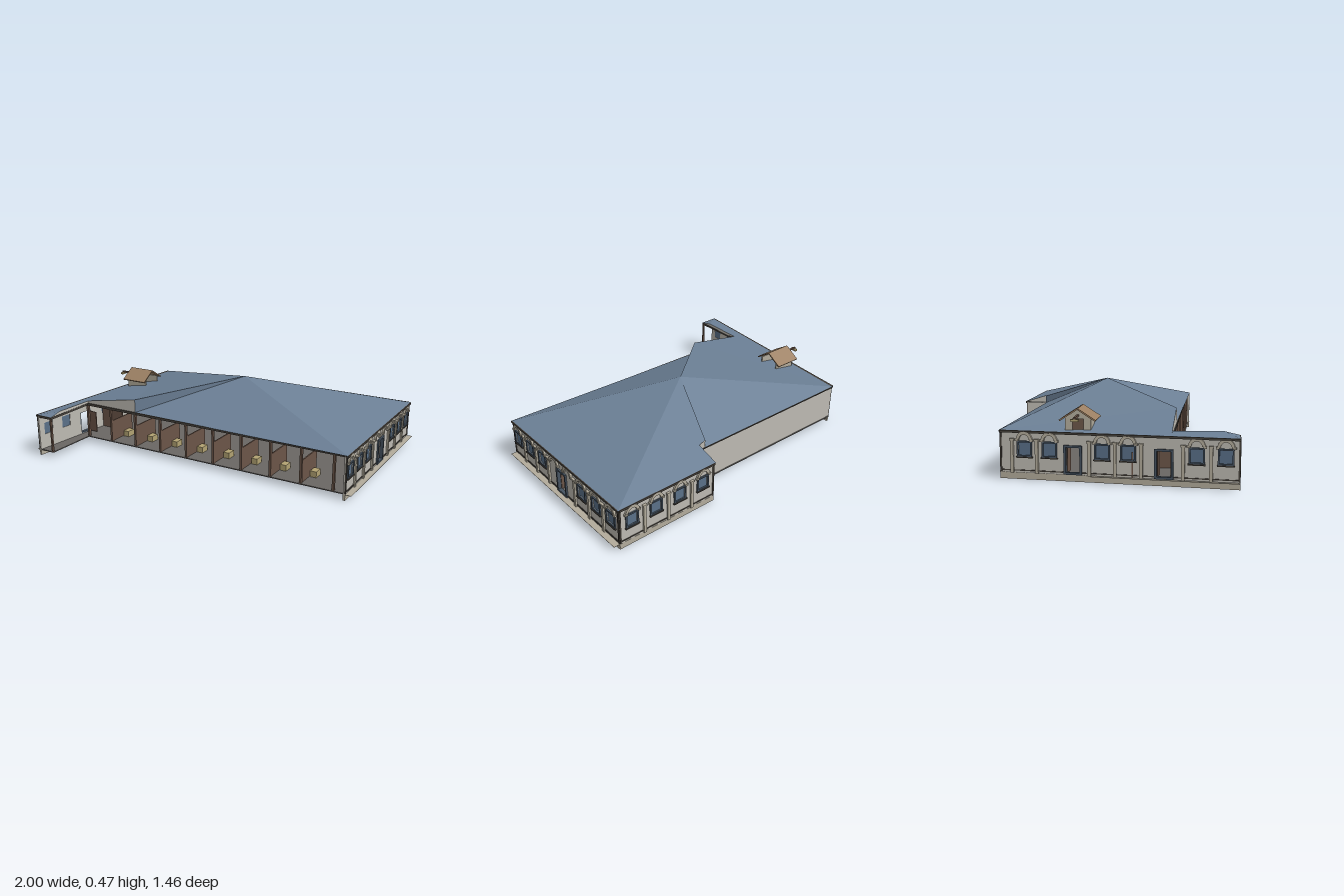
import * as THREE from 'three';

const mat = (color) => new THREE.MeshStandardMaterial({ color, side: THREE.DoubleSide, flatShading: true });
const M = {
  wall: mat(0xbdbab2), stone: mat(0xb3ac9c), roof: mat(0x6c8096), wood: mat(0x6b5548), dark: mat(0x45403a),
  glass: mat(0x5a7088), frame: mat(0x465361), bale: mat(0xb3a373), tile: mat(0x9c8063), floor: mat(0x6a6764),
};

function add(parent, name, geo, material, x = 0, y = 0, z = 0) {
  const m = new THREE.Mesh(geo, material);
  m.name = name;
  m.position.set(x, y, z);
  parent.add(m);
  return m;
}

// box given by its limits
function box(parent, name, material, x0, x1, y0, y1, z0, z1) {
  return add(parent, name, new THREE.BoxGeometry(x1 - x0, y1 - y0, z1 - z0), material,
    (x0 + x1) / 2, (y0 + y1) / 2, (z0 + z1) / 2);
}

// flat convex face from its corners
function face(parent, name, material, ...pts) {
  const pos = [];
  for (let i = 1; i < pts.length - 1; i++) pos.push(...pts[0], ...pts[i], ...pts[i + 1]);
  const g = new THREE.BufferGeometry();
  g.setAttribute('position', new THREE.Float32BufferAttribute(pos, 3));
  g.computeVertexNormals();
  return add(parent, name, g, material);
}

function rectPath(x0, x1, y0, y1, Type = THREE.Path) {
  const p = new Type();
  p.moveTo(x0, y0); p.lineTo(x1, y0); p.lineTo(x1, y1); p.lineTo(x0, y1); p.closePath();
  return p;
}

const extrude = (shape, depth) => new THREE.ExtrudeGeometry(shape, { depth, bevelEnabled: false, curveSegments: 8 });

// rectangular frame lying in the wall plane
function frame(parent, name, material, x0, x1, y0, y1, t, depth, z) {
  const s = rectPath(x0, x1, y0, y1, THREE.Shape);
  s.holes.push(rectPath(x0 + t, x1 - t, y0 + t, y1 - t));
  add(parent, name, extrude(s, depth), material, 0, 0, z);
}

function arch(parent, u) {
  const s = new THREE.Shape();
  s.absarc(0, 0, 0.045, 0, Math.PI, false);
  s.absarc(0, 0, 0.028, Math.PI, 0, true);
  s.closePath();
  add(parent, 'windowArch', extrude(s, 0.012), M.stone, u, 0.218, 0);
  for (const d of [-0.043, 0.043]) box(parent, 'archFoot', M.stone, u + d - 0.009, u + d + 0.009, 0.21, 0.222, 0, 0.014);
}

// decorated outer wall from (x0,z0) to (x1,z1), local +z faces outward
function facade(parent, name, x0, z0, x1, z1, o) {
  const g = new THREE.Group();
  const L = Math.hypot(x1 - x0, z1 - z0), w = 0.034;
  g.name = name;
  g.position.set(x0, 0, z0);
  g.rotation.y = Math.atan2(z0 - z1, x1 - x0);
  parent.add(g);
  const s = rectPath(0, L, 0.036, 0.258, THREE.Shape);
  for (const u of o.windows) s.holes.push(rectPath(u - w, u + w, 0.13, 0.205));
  for (const d of o.doors) s.holes.push(rectPath(d - 0.04, d + 0.04, 0.042, 0.185));
  add(g, 'wall', extrude(s, 0.012), M.wall, 0, 0, -0.012);
  box(g, 'plinth', M.stone, 0, L, 0, 0.036, -0.012, 0.001);
  for (const u of o.windows) {
    box(g, 'windowPane', M.glass, u - w, u + w, 0.13, 0.205, -0.009, -0.004);
    frame(g, 'windowFrame', M.frame, u - 0.042, u + 0.042, 0.125, 0.212, 0.009, 0.008, 0);
    box(g, 'windowSill', M.dark, u - 0.046, u + 0.046, 0.119, 0.126, 0, 0.012);
    arch(g, u);
  }
  for (const u of o.arches || []) arch(g, u);
  for (const u of o.pilasters) {
    box(g, 'pilaster', M.stone, u - 0.009, u + 0.009, 0.036, 0.215, 0, 0.011);
    box(g, 'pilasterCap', M.stone, u - 0.013, u + 0.013, 0.213, 0.223, 0, 0.014);
  }
  for (const d of o.doors) {
    frame(g, 'doorFrame', M.frame, d - 0.05, d + 0.05, 0.038, 0.197, 0.012, 0.022, -0.012);
    box(g, 'openDoorLeaf', M.wood, d - 0.04, d - 0.034, 0.045, 0.183, -0.08, -0.012);
  }
  // dark bands under the eave, above the plinth and at the corners
  box(g, 'eaveTrim', M.dark, 0, L, 0.255, 0.267, -0.005, 0.012);
  const cuts = [0, ...o.doors.flatMap((d) => [d - 0.05, d + 0.05]), L];
  for (let i = 0; i < cuts.length; i += 2) box(g, 'plinthBand', M.dark, cuts[i], cuts[i + 1], 0.046, 0.052, 0, 0.004);
  for (const u of [0.005, L - 0.005]) box(g, 'cornerPost', M.dark, u - 0.005, u + 0.005, 0.04, 0.258, -0.004, 0.004);
  if (o.ledge) box(g, 'ledge', M.stone, o.ledge[0], o.ledge[1], 0.034, 0.036, 0, o.ledge[2]);
  return g;
}

export function createModel() {
  const root = new THREE.Group();
  root.name = 'stableBuilding';
  const west = (z) => -0.87 - (z + 0.57) * 0.085; // slanted west wall line

  // floor
  const plan = new THREE.Shape([[-0.87, 0.57], [0.305, 0.57], [0.305, 0.71], [0.96, 0.71], [0.96, -0.38],
    [-0.87, -0.38], [-0.87, -0.72], [west(0.72), -0.72]].map(([x, y]) => new THREE.Vector2(x, y)));
  add(root, 'floor', extrude(plan, 0.006), M.floor, 0, 0.032, 0).rotation.x = -Math.PI / 2;

  // decorated walls
  facade(root, 'eastFacade', 0.962, 0.39, 0.962, -0.715, {
    windows: [0.33, 0.19, 0.05, -0.367, -0.508, -0.645].map((z) => 0.39 - z),
    pilasters: [0.257, 0.12, -0.02, -0.297, -0.437, -0.575].map((z) => 0.39 - z),
    arches: [0.478, 0.62], doors: [0.549], ledge: [0, 1.105, 0.038],
  });
  facade(root, 'northFacade', 0.962, -0.715, 0.305, -0.715, {
    windows: [0.88, 0.72, 0.555, 0.39].map((x) => 0.962 - x),
    pilasters: [0.8, 0.637, 0.472].map((x) => 0.962 - x), doors: [],
  });
  facade(root, 'westFacade', -0.87, -0.565, west(0.725), 0.725, {
    windows: [-0.43, -0.29, 0.0, 0.14, 0.5, 0.65].map((z) => z + 0.57),
    pilasters: [-0.5, -0.36, -0.07, 0.07, 0.21, 0.43, 0.575].map((z) => z + 0.57),
    doors: [0.41, 0.9], ledge: [0.51, 1.295, 0.02],
  });

  // plain back walls
  box(root, 'backWall', M.wall, -0.87, 0.305, 0.036, 0.262, -0.565, -0.553);
  box(root, 'stepWall', M.wall, 0.302, 0.314, 0, 0.262, -0.715, -0.553);
  box(root, 'backEave', M.dark, -0.87, 0.3, 0.257, 0.265, -0.572, -0.565);
  box(root, 'wingSupport', M.wall, 0.305, 0.962, 0, 0.034, -0.56, -0.553);

  // main roof
  const e = 0.266, P = [0.05, 0.465, -0.11], G = [-0.48, 0.35, 0.37];
  const NW = [-0.87, e, -0.57], NE = [0.972, e, -0.725], SE = [0.972, e, 0.392], SW = [west(0.37) - 0.008, e, 0.37];
  const V = [0.245, 0.314, -0.57], foot = [-0.48, e, 0.372];
  const roof = new THREE.Group();
  roof.name = 'roof';
  root.add(roof);
  face(roof, 'southSlope', M.roof, foot, SE, P);
  face(roof, 'eastSlope', M.roof, SE, NE, P);
  face(roof, 'northWingSlope', M.roof, NE, [0.3, e, -0.725], [0.3, 0.314, -0.57], V, P);
  face(roof, 'northSlope', M.roof, [0.3, e, -0.57], NW, P);
  face(roof, 'westSlope', M.roof, NW, SW, G, P);
  face(roof, 'roofStep', M.roof, foot, P, G);
  face(roof, 'valleyStep', M.roof, [0.245, e, -0.57], V, P);
  face(roof, 'valleyEnd', M.wall, [0.3, e, -0.57], [0.245, e, -0.57], V, [0.3, 0.314, -0.57]);
  face(roof, 'stepGable', M.wall, [0.3, e, -0.57], [0.3, 0.314, -0.57], [0.3, e, -0.725]);
  face(roof, 'frontGable', M.wall, SW, foot, G);

  // narrow roof over the front wing
  const tip = [west(0.725) - 0.008, e, 0.725], R0 = [-0.87, 0.28, 0.37], R1 = [-0.87, 0.285, 0.64], end = [-0.868, e, 0.725];
  face(roof, 'wingSlope', M.roof, SW, tip, R1, R0);
  face(roof, 'wingHip', M.roof, tip, end, R1);
  face(roof, 'wingRoofSide', M.wall, [-0.868, e, 0.37], end, R1, R0);
  box(root, 'wingBeam', M.dark, -0.878, -0.866, 0.253, 0.267, 0.37, 0.725);
  box(root, 'wingEndBeam', M.dark, -0.975, -0.866, 0.253, 0.267, 0.713, 0.725);
  box(root, 'wingPost', M.wood, -0.879, -0.867, 0.036, 0.258, 0.713, 0.725);

  // open front: posts, stall partitions and bales
  box(root, 'frontBeam', M.dark, -0.95, 0.965, 0.252, 0.267, 0.362, 0.378);
  const posts = [-0.87, -0.677, -0.482, -0.288, -0.094, 0.1, 0.296, 0.49, 0.685, 0.885];
  posts.forEach((x, i) => {
    box(root, 'frontPost', M.wood, x - 0.007, x + 0.007, 0.036, 0.255, 0.362, 0.378);
    if (i === 0 || i === 9) return;
    box(root, 'stallPartition', M.wood, x - 0.004, x + 0.004, 0.038, 0.175, 0.16, 0.364);
    box(root, 'bale', M.bale, x + 0.008, x + 0.048, 0.038, 0.075, 0.2, 0.26);
  });
  box(root, 'westStallFront', M.wood, -0.935, -0.75, 0.038, 0.175, 0.16, 0.168);
  box(root, 'eastStallFront', M.wood, 0.885, 0.955, 0.038, 0.175, 0.16, 0.168);

  // hoist dormer over the west door
  const dormer = new THREE.Group();
  dormer.name = 'hoistDormer';
  dormer.position.z = -0.135;
  root.add(dormer);
  const gable = new THREE.Shape([[-0.07, 0.262], [0.07, 0.262], [0.07, 0.34], [0, 0.385], [-0.07, 0.34]]
    .map(([x, y]) => new THREE.Vector2(x, y)));
  gable.holes.push(rectPath(-0.03, 0.03, 0.275, 0.335));
  add(dormer, 'dormerFront', extrude(gable, 0.012), M.stone, -0.868, 0, 0).rotation.y = Math.PI / 2;
  for (const s of [-1, 1]) {
    box(dormer, 'dormerSide', M.stone, -0.862, -0.715, 0.262, 0.338, s * 0.066 - 0.004, s * 0.066 + 0.004);
    const slope = add(dormer, 'dormerRoof', new THREE.BoxGeometry(0.18, 0.008, 0.116), M.tile, -0.798, 0.358, s * 0.049);
    slope.rotation.x = s * 0.57;
  }
  box(dormer, 'dormerHatch', M.wood, -0.86, -0.855, 0.275, 0.335, -0.03, 0.03);
  box(dormer, 'hoistBeam', M.wood, -0.97, -0.8, 0.347, 0.357, -0.006, 0.006);
  box(dormer, 'hoistPulley', M.bale, -0.972, -0.952, 0.335, 0.347, -0.022, 0.022);
  return root;
}
